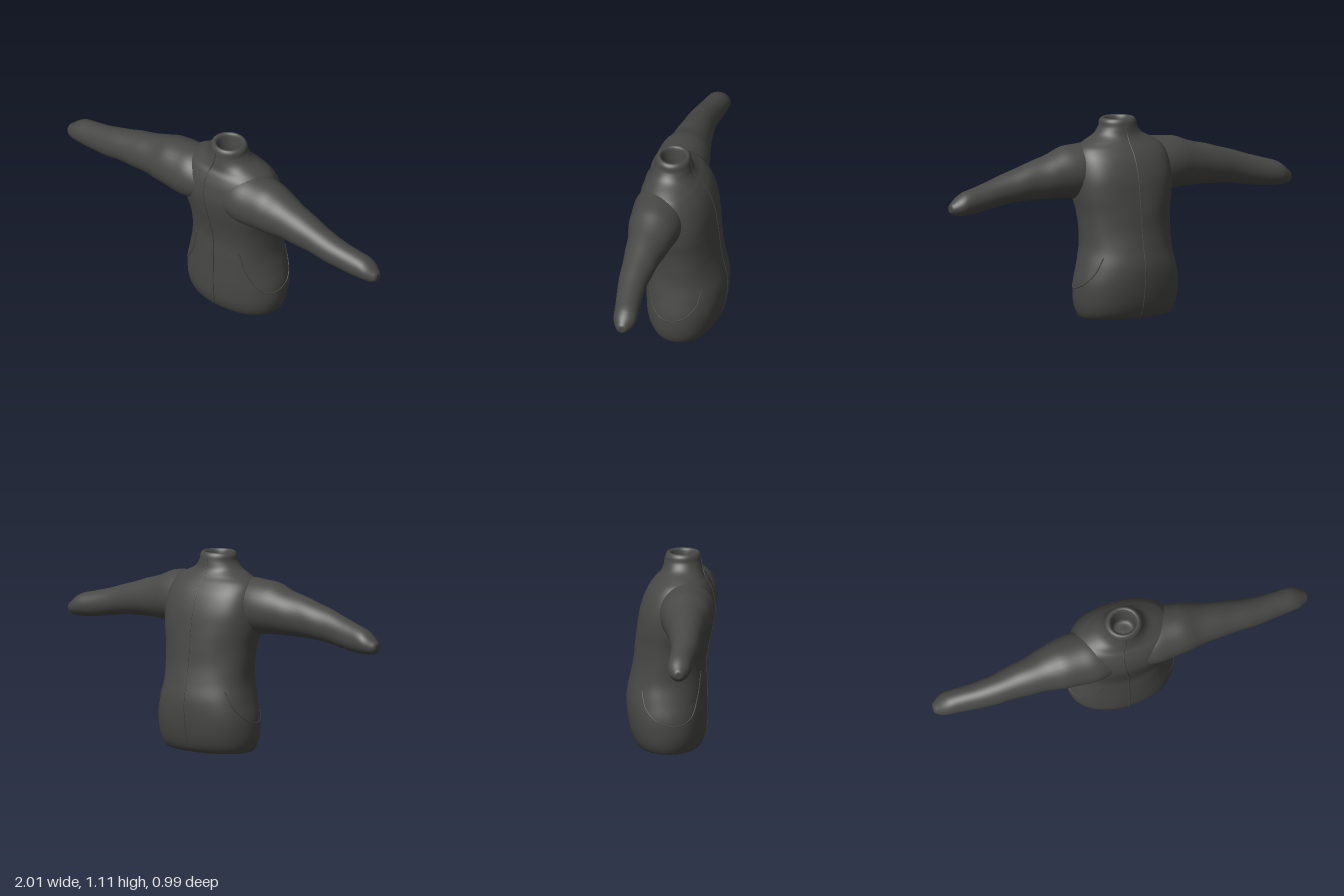
import * as THREE from 'three';

const material = new THREE.MeshStandardMaterial({ color: 0x484846, side: THREE.DoubleSide });

// Catmull-Rom interpolation of a table of section rows, u in 0..1
function sample(rows, u) {
  const f = Math.min(Math.max(u, 0), 1) * (rows.length - 1);
  const i = Math.min(Math.floor(f), rows.length - 2), t = f - i;
  const row = (k) => rows[Math.min(Math.max(k, 0), rows.length - 1)];
  const [a, b, c, d] = [row(i - 1), row(i), row(i + 1), row(i + 2)];
  return b.map((v, k) => v + 0.5 * t * (c[k] - a[k]
    + t * (2 * a[k] - 5 * v + 4 * c[k] - d[k] + t * (3 * (v - c[k]) + d[k] - a[k]))));
}

// Closed-ring surface from point(u, angle)
function loft(name, point, nu, nt) {
  const pos = [], index = [];
  for (let i = 0; i <= nu; i++) {
    for (let j = 0; j < nt; j++) {
      pos.push(...point(i / nu, (j / nt) * Math.PI * 2));
      if (i === nu) continue;
      const a = i * nt + j, b = i * nt + (j + 1) % nt;
      index.push(a, a + nt, b, b, a + nt, b + nt);
    }
  }
  const g = new THREE.BufferGeometry();
  g.setAttribute('position', new THREE.Float32BufferAttribute(pos, 3));
  g.setIndex(index);
  g.computeVertexNormals();
  const m = new THREE.Mesh(g, material);
  m.name = name;
  return m;
}

// Torso: height, half width, half depth, centre z, squareness exponent
const TORSO = [
  [0.03, 0, 0, -0.10, 1], [0.02, 0.09, 0.05, -0.10, 1], [0.004, 0.16, 0.09, -0.10, 1],
  [0.003, 0.258, 0.155, -0.10, 0.95], [0.03, 0.288, 0.187, -0.103, 0.93], [0.10, 0.307, 0.212, -0.106, 0.93],
  [0.20, 0.309, 0.223, -0.112, 0.93], [0.30, 0.288, 0.224, -0.113, 0.93], [0.40, 0.268, 0.214, -0.104, 0.93],
  [0.50, 0.268, 0.203, -0.096, 0.93], [0.60, 0.275, 0.206, -0.084, 0.92], [0.70, 0.294, 0.21, -0.068, 0.88],
  [0.80, 0.298, 0.208, -0.053, 0.84], [0.89, 0.285, 0.186, -0.042, 0.84], [0.95, 0.26, 0.154, -0.034, 0.88],
  [0.985, 0.212, 0.127, -0.03, 0.95], [1.02, 0.145, 0.112, -0.025, 1], [1.06, 0.112, 0.104, -0.025, 1],
  [1.095, 0.105, 0.098, -0.025, 1], [1.112, 0.088, 0.084, -0.025, 1], [1.10, 0.07, 0.068, -0.025, 1],
  [1.04, 0.062, 0.059, -0.025, 1], [0.98, 0.056, 0.052, -0.025, 1], [0.975, 0, 0, -0.025, 1],
];

function torsoPoint(u, t) {
  const [y, a, b, cz, e] = sample(TORSO, u);
  // soft cloth folds, fading out at hem and collar
  const fade = Math.max(0, Math.sin(Math.PI * Math.min(1, Math.max(0, (y - 0.03) / 0.95))));
  const k = 1 + fade * 0.007 * (Math.sin(5 * t + 7 * y) + Math.sin(9 * t - 11 * y) * 0.5);
  const c = Math.cos(t), s = Math.sin(t);
  return [0.025 + a * k * Math.sign(c) * Math.abs(c) ** e, Math.max(0, y),
    cz + b * k * Math.sign(s) * Math.abs(s) ** e];
}

// Point on the torso's outer skin at a given height and angle in degrees
function onTorso(y, deg) {
  let lo = 3 / (TORSO.length - 1), hi = 19 / (TORSO.length - 1);
  for (let i = 0; i < 24; i++) {
    const mid = (lo + hi) / 2;
    if (sample(TORSO, mid)[0] < y) lo = mid; else hi = mid;
  }
  return new THREE.Vector3(...torsoPoint(lo, THREE.MathUtils.degToRad(deg)));
}

function seam(name, points, r) {
  const curve = new THREE.CatmullRomCurve3(points);
  const m = new THREE.Mesh(new THREE.TubeGeometry(curve, 80, r, 6), material);
  m.name = name;
  return m;
}

// Sleeve: distance from the middle, centre height, half height, half depth, centre z
const SLEEVE = [
  [0.04, 0.82, 0.10, 0.12, 0.01], [0.15, 0.825, 0.147, 0.147, 0.01],
  [0.25, 0.823, 0.154, 0.15, 0.007], [0.35, 0.821, 0.147, 0.142, 0.004],
  [0.44, 0.808, 0.127, 0.122, 0.006], [0.54, 0.792, 0.11, 0.105, 0.01],
  [0.66, 0.772, 0.093, 0.09, 0.014], [0.80, 0.74, 0.08, 0.077, 0.014],
  [0.92, 0.714, 0.073, 0.07, 0], [1.00, 0.702, 0.066, 0.067, -0.008],
  [1.04, 0.692, 0.056, 0.06, -0.01], [1.075, 0.68, 0.04, 0.042, -0.01],
  [1.096, 0.678, 0.022, 0.024, -0.01], [1.098, 0.678, 0, 0, -0.01],
];

function sleeve(side) {
  return loft(side > 0 ? 'leftSleeve' : 'rightSleeve', (u, t) => {
    const [x, cy, h, d, cz] = sample(SLEEVE, u);
    const fade = Math.sin(Math.PI * Math.min(1, x / 1.1));
    const k = 1 + 0.013 * fade * Math.sin(34 * x + 2 * Math.cos(t + side));
    // the right sleeve is a little fuller along its upper side
    const full = side < 0 ? 0.01 * Math.sin(Math.PI * Math.min(1, Math.max(0, (x - 0.4) / 0.7))) : 0;
    return [side * x, cy + h * k * Math.cos(t) + full * (Math.cos(t) + 0.4),
      cz - side * d * k * Math.sin(t)];
  }, 78, 40);
}

export function createModel() {
  const model = new THREE.Group();
  model.name = 'jacket';
  const body = new THREE.Group();
  body.name = 'jacketBody';
  // the jacket is turned about the vertical axis
  body.rotation.y = -THREE.MathUtils.degToRad(25);
  model.add(body);

  body.add(loft('torso', torsoPoint, 138, 72), sleeve(1), sleeve(-1));

  // Front zip and back seam
  const heights = Array.from({ length: 22 }, (_, i) => 0.03 + i * 0.05);
  body.add(seam('frontZip', heights.map((y) => onTorso(y, 91 + 8 * y ** 3)), 0.005));
  body.add(seam('backSeam', heights.map((y) => onTorso(y, 270)), 0.003));

  // Curved pocket edges sweeping round each side
  const pocket = [[0.46, 58], [0.32, 50], [0.21, 36], [0.175, 15], [0.2, -10], [0.27, -28], [0.36, -38]];
  for (const side of [1, -1]) {
    const pts = pocket.map(([y, a]) => onTorso(y, side > 0 ? a : 180 - a));
    body.add(seam(side > 0 ? 'leftPocketEdge' : 'rightPocketEdge', pts, 0.004));
  }
  return model;
}
